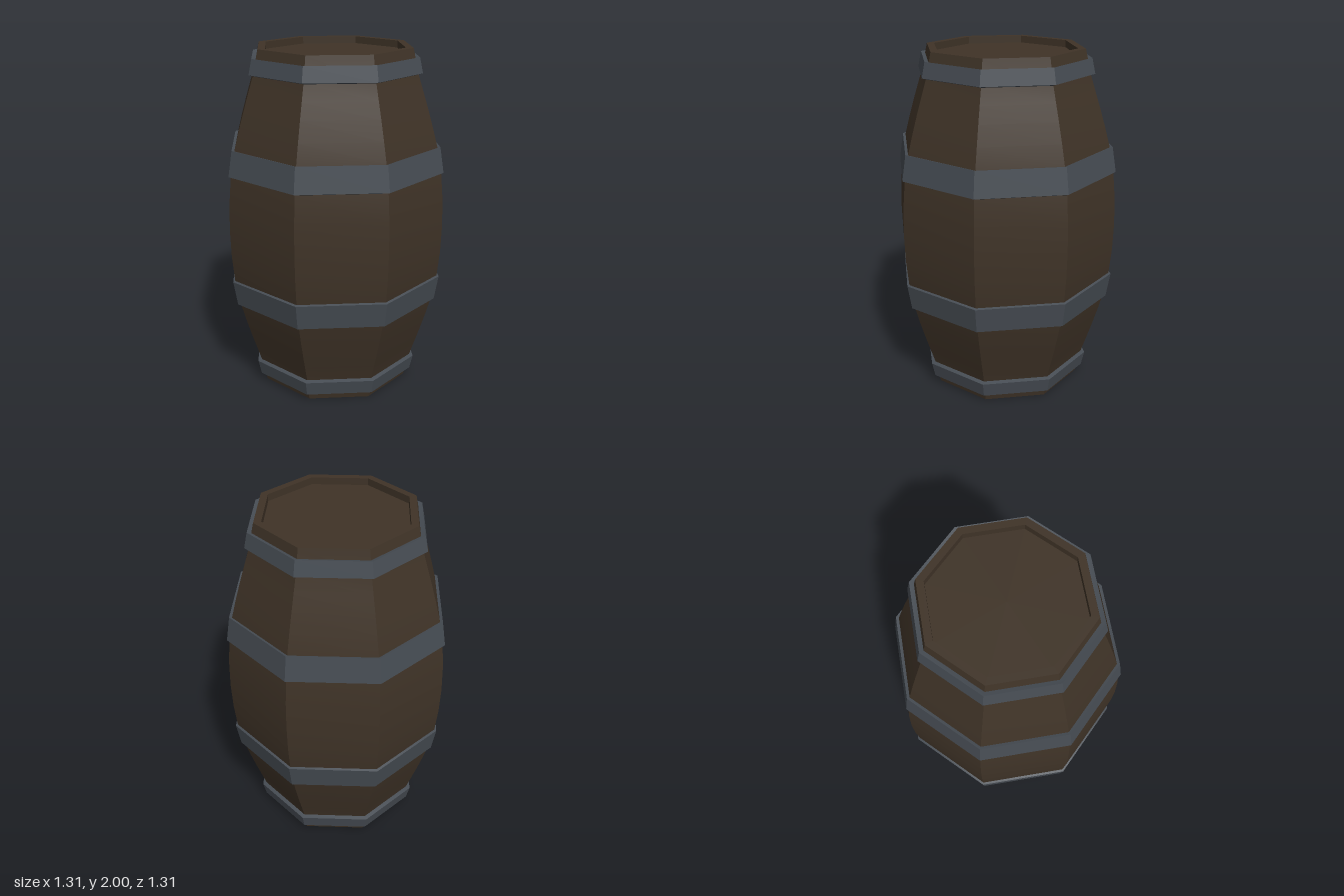
import * as THREE from 'three';
import { toCreasedNormals } from 'three/addons/utils/BufferGeometryUtils.js';

const SIDES = 8;

// Eight-sided turned solid: soft along the bulge, sharp at the corners
function turned(name, profile, material) {
  const points = profile.map(([r, y]) => new THREE.Vector2(r, y));
  const geometry = new THREE.LatheGeometry(points, SIDES);
  const mesh = new THREE.Mesh(toCreasedNormals(geometry, Math.PI / 6), material);
  mesh.name = name;
  return mesh;
}

export function createModel() {
  const wood = new THREE.MeshStandardMaterial({ color: 0x3f3327 });
  wood.name = 'dark wood';
  const iron = new THREE.MeshStandardMaterial({ color: 0x464c53 });
  iron.name = 'dull iron';

  const barrel = new THREE.Group();
  barrel.name = 'barrel';

  // Bulging side: [radius, height] of the upper half, mirrored for the lower
  const upper = [[0.655, 1], [0.65, 1.16], [0.636, 1.31], [0.608, 1.46],
    [0.578, 1.57], [0.545, 1.68], [0.516, 1.77], [0.487, 1.86], [0.455, 2]];
  const lower = upper.slice(1).reverse().map(([r, y]) => [r, 2 - y]);

  // Staves with a rim at both ends
  const rim = 0.412, depth = 0.04;
  barrel.add(turned('staves', [
    [rim, depth], [rim, 0], ...lower, ...upper, [rim, 2], [rim, 2 - depth],
  ], wood));

  // Recessed heads
  barrel.add(turned('topHead', [[rim, 2 - depth], [0, 2 - depth]], wood));
  barrel.add(turned('bottomHead', [[0, depth], [rim, depth]], wood));

  // Hoops: cross-section from inner bottom round the outside to inner top
  const hoops = {
    Middle: [[0.63, 1.308], [0.649, 1.316], [0.625, 1.462], [0.6, 1.455]],
    End: [[0.48, 1.856], [0.511, 1.866], [0.492, 1.952], [0.46, 1.943]],
  };
  for (const [place, section] of Object.entries(hoops)) {
    const closed = [...section, section[0]];
    const flipped = closed.map(([r, y]) => [r, 2 - y]).reverse();
    barrel.add(turned(`upper${place}Hoop`, closed, iron));
    barrel.add(turned(`lower${place}Hoop`, flipped, iron));
  }
  return barrel;
}
